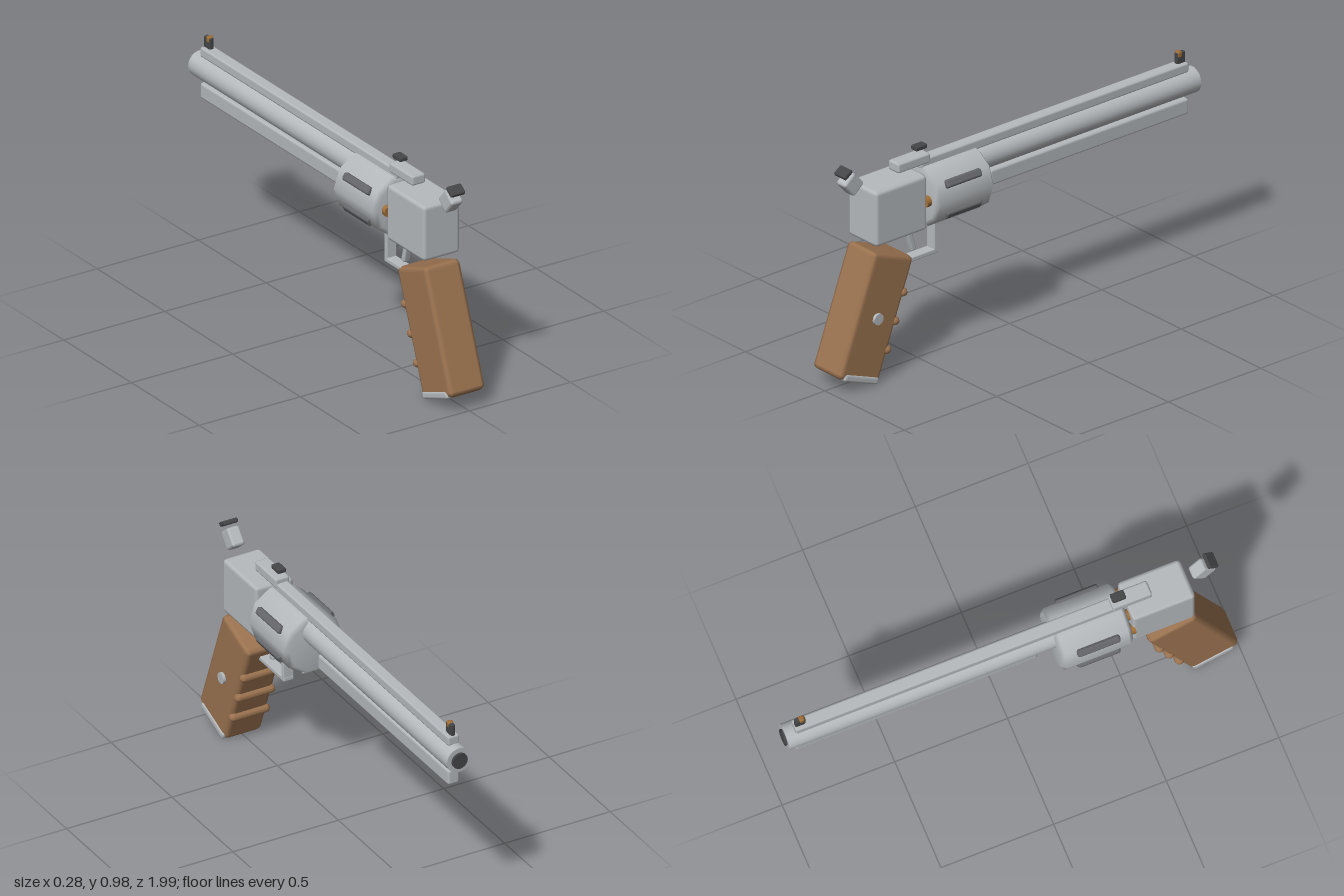
import * as THREE from 'three';
import { RoundedBoxGeometry } from 'three/addons/geometries/RoundedBoxGeometry.js';

const paint = (name, color) => {
  const m = new THREE.MeshStandardMaterial({ color });
  m.name = name;
  return m;
};

export function createModel() {
  const steel = paint('steel', 0xb6babd);
  const gunmetal = paint('gunmetal', 0x66686b);
  const dark = paint('dark metal', 0x444648);
  const wood = paint('wood', 0x9b7350);
  const brass = paint('brass', 0xa06f38);

  const model = new THREE.Group();
  model.name = 'revolver';

  const add = (name, geometry, material, pos, parent = model) => {
    const mesh = new THREE.Mesh(geometry, material);
    mesh.name = name;
    mesh.position.set(...pos);
    parent.add(mesh);
    return mesh;
  };
  // Box with a single chamfer on every edge
  const box = (name, size, bevel, material, pos, parent) =>
    add(name, new RoundedBoxGeometry(...size, 1, bevel), material, pos, parent);
  // Cylinder lying along z
  const rod = (name, radius, length, sides, material, pos) =>
    add(name, new THREE.CylinderGeometry(radius, radius, length, sides).rotateX(Math.PI / 2), material, pos);

  // Barrel, bore, top rib and ejector housing
  rod('barrel', 0.057, 1.19, 24, steel, [0, 0.822, -0.395]);
  rod('bore', 0.036, 0.03, 16, dark, [0, 0.822, -0.985]);
  box('topRib', [0.056, 0.045, 1.45], 0.01, steel, [0, 0.895, -0.225]);
  box('rearRib', [0.068, 0.045, 0.175], 0.01, steel, [0, 0.917, 0.5425]);
  box('ejectorHousing', [0.056, 0.072, 1.075], 0.012, steel, [0, 0.72, -0.4125]);

  // Sights
  box('rearSight', [0.04, 0.02, 0.06], 0.006, dark, [0, 0.967, 0.49]);
  box('frontSight', [0.022, 0.06, 0.045], 0.006, dark, [0, 0.937, -0.922]);
  box('frontSightBead', [0.026, 0.03, 0.026], 0.008, brass, [0, 0.957, -0.915]);

  // Ten-sided drum with chamfered rims, a corner on each side
  const profile = [[0, -0.158], [0.12, -0.158], [0.14, -0.14], [0.14, 0.14], [0.12, 0.158], [0, 0.158]]
    .map(([r, y]) => new THREE.Vector2(r, y));
  add('drum', new THREE.LatheGeometry(profile, 10, Math.PI / 2).rotateX(Math.PI / 2), steel, [0, 0.752, 0.35]);

  // Flutes on the drum and cartridges behind it
  for (let i = 0; i < 6; i++) {
    const a = Math.PI / 6 + (i * Math.PI) / 3;
    const flute = box('flute', [0.028, 0.036, 0.19], 0.009, gunmetal,
      [Math.cos(a) * 0.137, 0.755 + Math.sin(a) * 0.137, 0.355]);
    flute.rotation.z = a;
    const b = (i * Math.PI) / 3;
    rod('cartridge', 0.024, 0.04, 10, brass,
      [Math.cos(b) * 0.08, 0.755 + Math.sin(b) * 0.08, 0.51]);
  }

  // Frame
  box('frame', [0.182, 0.25, 0.28], 0.018, steel, [0, 0.755, 0.66]);
  box('bottomStrap', [0.11, 0.028, 0.3], 0.01, steel, [0, 0.634, 0.35]);

  // Hammer and spur
  box('hammer', [0.06, 0.085, 0.075], 0.012, steel, [0, 0.917, 0.864]).rotation.x = 0.72;
  box('hammerSpur', [0.07, 0.02, 0.05], 0.007, dark, [0, 0.973, 0.9]).rotation.x = 0.6;

  // Trigger and guard
  box('trigger', [0.032, 0.12, 0.026], 0.008, steel, [0, 0.57, 0.543]).rotation.x = 0.27;
  box('guardFront', [0.05, 0.155, 0.022], 0.006, steel, [0, 0.548, 0.418]);
  box('guardBottom', [0.05, 0.022, 0.215], 0.006, steel, [0, 0.48, 0.513]);

  // Raked grip with finger ridges, butt plate and one side screw
  const grip = new THREE.Group();
  grip.name = 'grip';
  grip.position.set(0, 0.31, 0.793);
  grip.rotation.x = -0.36;
  model.add(grip);
  box('gripBody', [0.178, 0.555, 0.23], 0.022, wood, [0, 0, 0], grip);
  box('buttPlate', [0.19, 0.034, 0.195], 0.012, steel, [0, -0.264, -0.008], grip);
  for (const y of [0.12, -0.005, -0.13]) {
    const ridge = new THREE.CapsuleGeometry(0.02, 0.15, 4, 10).rotateZ(Math.PI / 2);
    add('fingerRidge', ridge, wood, [0, y, -0.115], grip);
  }
  add('gripScrew', new THREE.CylinderGeometry(0.025, 0.025, 0.024, 14).rotateZ(Math.PI / 2),
    steel, [0.089, 0, 0], grip);

  return model;
}
